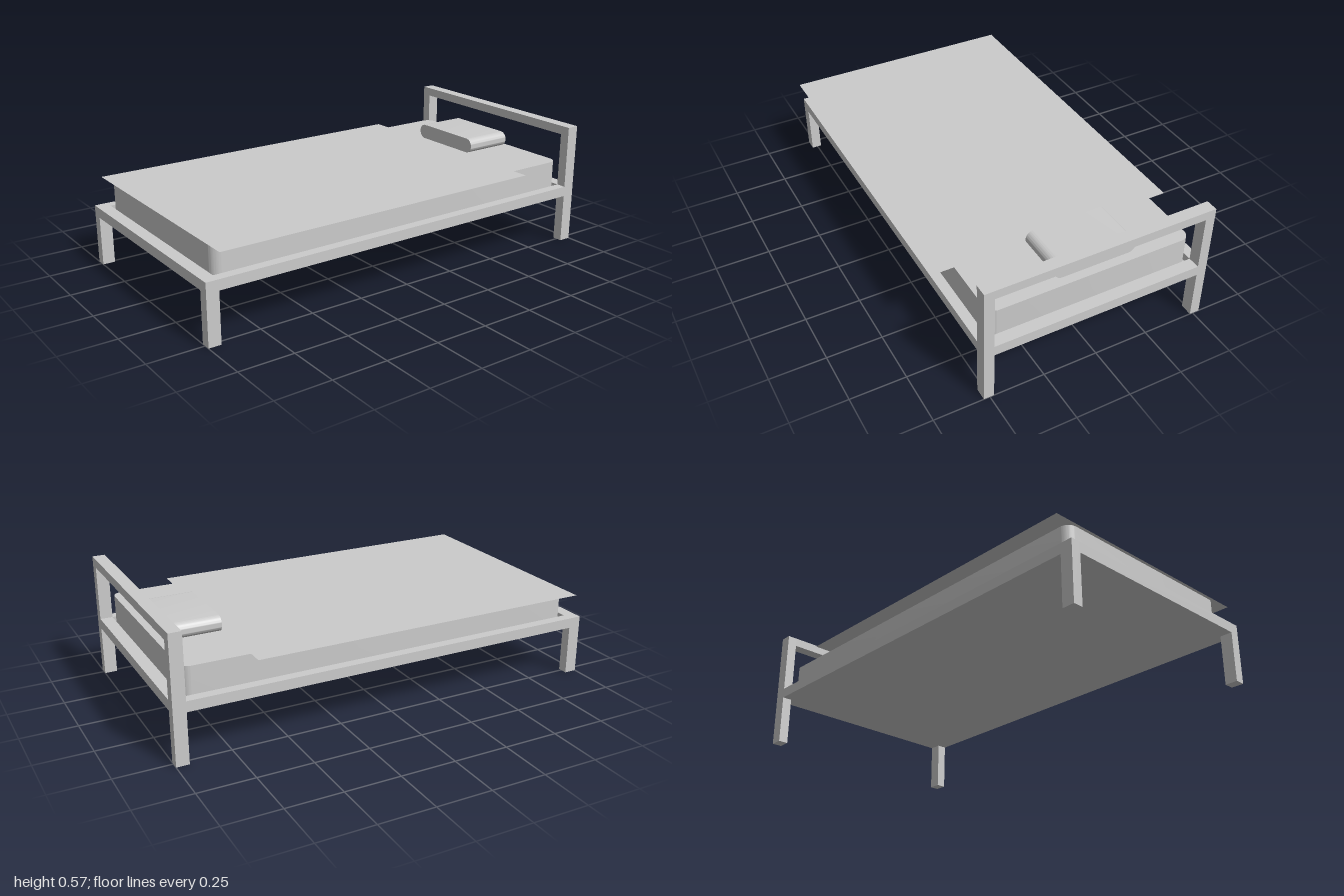
import * as THREE from 'three';
import { toCreasedNormals } from 'three/addons/utils/BufferGeometryUtils.js';

const material = new THREE.MeshStandardMaterial({ color: 0xcccccc });
const sheetMaterial = new THREE.MeshStandardMaterial({ color: 0xcccccc, side: THREE.DoubleSide });

// Outer edges of the bed frame
const X0 = -0.532, X1 = 0.527, POST = 0.046, DEPTH = 0.057;
const RAIL_LOW = 0.229, RAIL_TOP = 0.276, HEAD_TOP = 0.569;

export function createModel() {
  const bed = new THREE.Group();
  bed.name = 'bed';

  const add = (name, geometry, mat = material) => {
    const mesh = new THREE.Mesh(geometry, mat);
    mesh.name = name;
    bed.add(mesh);
    return mesh;
  };

  // Box given by its minimum and maximum corners
  const box = (name, x0, x1, y0, y1, z0, z1) =>
    add(name, new THREE.BoxGeometry(x1 - x0, y1 - y0, z1 - z0))
      .position.set((x0 + x1) / 2, (y0 + y1) / 2, (z0 + z1) / 2);

  // Rounded rectangle extruded along z, with smooth corners
  const roundedSlab = (w, h, r, depth) => {
    const a = w / 2 - r, b = h / 2 - r;
    const s = new THREE.Shape();
    s.absarc(a, b, r, 0, Math.PI / 2);
    s.absarc(-a, b, r, Math.PI / 2, Math.PI);
    s.absarc(-a, -b, r, Math.PI, Math.PI * 1.5);
    s.absarc(a, -b, r, Math.PI * 1.5, Math.PI * 2);
    s.closePath();
    const g = new THREE.ExtrudeGeometry(s, { depth, bevelEnabled: false, curveSegments: 12 });
    return toCreasedNormals(g, Math.PI / 6);
  };

  // Legs in front, full-height posts at the head, side rails between them
  for (const [side, x0, x1] of [['right', X0, X0 + POST], ['left', X1 - POST, X1]]) {
    box(`${side}FrontLeg`, x0, x1, 0, RAIL_TOP, 1 - DEPTH, 1);
    box(`${side}HeadPost`, x0, x1, 0, HEAD_TOP, -1, -1 + DEPTH);
    box(`${side}Rail`, x0, x1, RAIL_LOW, RAIL_TOP, -1 + DEPTH, 1 - DEPTH);
  }

  // Cross rails and headboard bar
  const in0 = X0 + POST, in1 = X1 - POST;
  box('footRail', in0, in1, RAIL_LOW, RAIL_TOP, 1 - DEPTH, 1);
  box('headRail', in0, in1, RAIL_LOW, RAIL_TOP, -1, -1 + DEPTH);
  box('headboardBar', in0, in1, 0.528, HEAD_TOP, -1, -1 + DEPTH);

  // Base panel closing the frame underneath
  box('basePanel', in0, in1, RAIL_LOW, 0.24, -1 + DEPTH, 1 - DEPTH);

  // Mattress with rounded upright corners
  const mattress = add('mattress', roundedSlab(0.95, 1.876, 0.045, 0.155));
  mattress.rotation.x = -Math.PI / 2;
  mattress.position.set(-0.002, 0.24, 0);

  // Thin flat cover overhanging the mattress
  const cover = add('cover', new THREE.PlaneGeometry(1.108, 1.595), sheetMaterial);
  cover.rotation.x = -Math.PI / 2;
  cover.position.set(0, 0.397, 0.152);

  // Pillow with fully rounded ends
  const pillow = add('pillow', roundedSlab(0.384, 0.07, 0.0349, 0.233));
  pillow.position.set(-0.034, 0.434, -0.9);

  return bed;
}
